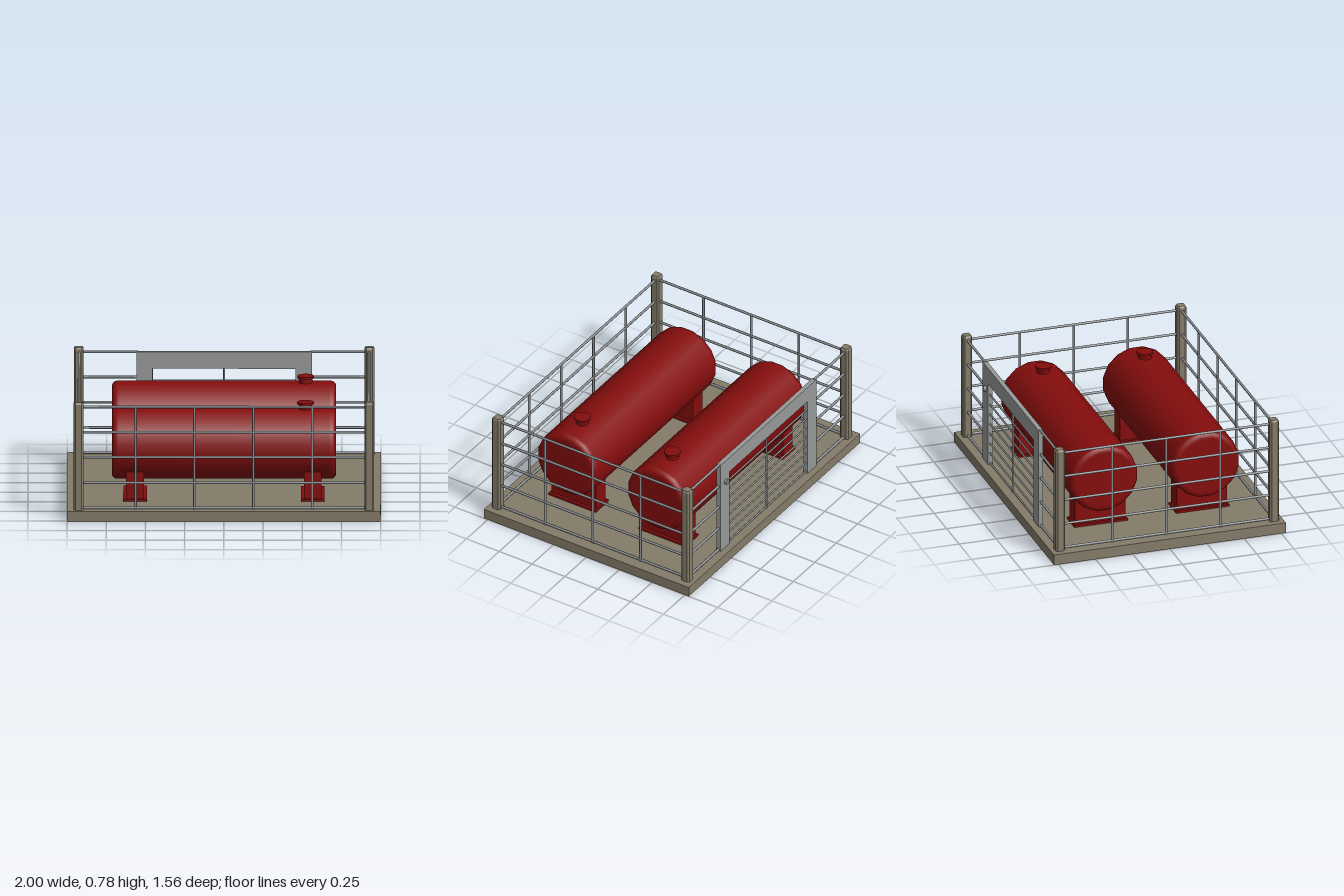
import * as THREE from 'three';

export function createModel() {
  const root = new THREE.Group();
  const mat = (name, color) => {
    const m = new THREE.MeshStandardMaterial({ color });
    m.name = name;
    return m;
  };
  const concrete = mat('concrete', 0x857c6a);
  const red = mat('red paint', 0x850d0d);
  const steel = mat('rail steel', 0x8a8e91);
  const gateGrey = mat('gate grey', 0x979999);

  const add = (parent, name, geo, material, x = 0, y = 0, z = 0) => {
    const mesh = new THREE.Mesh(geo, material);
    mesh.name = name;
    mesh.position.set(x, y, z);
    parent.add(mesh);
    return mesh;
  };
  const group = (name) => {
    const g = new THREE.Group();
    g.name = name;
    root.add(g);
    return g;
  };
  const box = (w, h, d) => new THREE.BoxGeometry(w, h, d);

  // Ground slab
  add(root, 'slab', box(2, 0.07, 1.56), concrete, 0, 0.035, 0);

  // Corner posts: chamfered square section with a bevelled top
  const a = 0.024, c = 0.017;
  const section = new THREE.Shape(
    [[a, -c], [a, c], [c, a], [-c, a], [-a, c], [-a, -c], [-c, -a], [c, -a]]
      .map(([x, y]) => new THREE.Vector2(x, y)));
  const postGeo = new THREE.ExtrudeGeometry(section, {
    depth: 0.7, bevelEnabled: true, bevelThickness: 0.012, bevelSize: 0.007, bevelSegments: 1,
  });
  postGeo.rotateX(-Math.PI / 2);
  const posts = group('cornerPosts');
  for (const x of [-0.927, 0.927])
    for (const z of [-0.72, 0.72]) add(posts, 'cornerPost', postGeo, concrete, x, 0.064, z);

  // Rails
  const R = 0.0085;
  const levels = [0.08, 0.245, 0.412, 0.577, 0.742];
  const rail = (parent, name, axis, length, x, y, z, r = R) => {
    const geo = new THREE.CylinderGeometry(r, r, length, 8);
    if (axis === 'x') geo.rotateZ(Math.PI / 2);
    if (axis === 'z') geo.rotateX(Math.PI / 2);
    return add(parent, name, geo, steel, x, y, z);
  };
  const upright = (parent, x, z) => rail(parent, 'upright', 'y', 0.675, x, 0.4075, z);

  const front = group('frontFence');
  for (const y of levels) rail(front, 'rail', 'x', 1.82, 0, y, 0.72);
  for (const x of [-0.563, -0.188, 0.188, 0.563]) upright(front, x, 0.72);

  for (const s of [-1, 1]) {
    const side = group(s > 0 ? 'leftFence' : 'rightFence');
    for (const y of levels) rail(side, 'rail', 'z', 1.42, s * 0.924, y, 0);
    for (const z of [-0.363, 0, 0.363]) upright(side, s * 0.924, z);
  }

  const back = group('backFence');
  for (const s of [-1, 1])
    for (const y of levels) rail(back, 'rail', 'x', 0.37, s * 0.735, y, -0.72);

  // Gate: flat frame with close horizontal bars and one centre bar
  const gate = group('gate');
  const frame = new THREE.Shape([
    [-0.56, 0.07], [-0.455, 0.07], [-0.455, 0.635], [0.455, 0.635],
    [0.455, 0.07], [0.56, 0.07], [0.56, 0.745], [-0.56, 0.745],
  ].map(([x, y]) => new THREE.Vector2(x, y)));
  const frameGeo = new THREE.ExtrudeGeometry(frame, { depth: 0.03, bevelEnabled: false });
  add(gate, 'gateFrame', frameGeo, gateGrey, 0, 0, -0.735);
  for (let i = 0; i < 8; i++) rail(gate, 'gateBar', 'x', 0.93, 0, 0.08 + i * 0.068, -0.72, 0.006);
  rail(gate, 'gateCentreBar', 'y', 0.58, 0, 0.355, -0.72, 0.007);
  const knob = new THREE.CylinderGeometry(0.018, 0.018, 0.02, 12).rotateX(Math.PI / 2);
  add(gate, 'gateKnob', knob, steel, 0.5, 0.585, -0.742);

  // Tanks: 16-sided drums with rounded rims
  const L = 0.715, rad = 0.2295, f = 0.035;
  const profile = [[0.0001, -L], [rad - f - 0.01, -L]];
  for (const s of [-1, 1]) {
    for (let i = 0; i <= 4; i++) {
      const t = (s < 0 ? i : 4 - i) / 4 * Math.PI / 2;
      profile.push([rad - f + f * Math.sin(t), s * (L - f + f * Math.cos(t))]);
    }
    if (s < 0) profile.push([rad, -L + f + 0.01], [rad, L - f - 0.01]);
  }
  profile.push([rad - f - 0.01, L], [0.0001, L]);
  const drumGeo = new THREE.LatheGeometry(
    profile.map(([x, y]) => new THREE.Vector2(x, y)), 16, Math.PI / 16);
  drumGeo.rotateZ(-Math.PI / 2);

  for (const z of [-0.342, 0.342]) {
    const tank = group(z > 0 ? 'frontTank' : 'backTank');
    tank.position.z = z;
    add(tank, 'drum', drumGeo, red, 0, 0.412, 0);
    for (const x of [-0.567, 0.567]) {
      add(tank, 'saddleLeg', box(0.112, 0.2, 0.338), red, x, 0.162, 0);
      add(tank, 'footPlate', box(0.15, 0.014, 0.36), red, x, 0.077, 0);
    }
    // Filler neck and lid
    add(tank, 'fillerNeck', new THREE.CylinderGeometry(0.043, 0.043, 0.07, 16), red, 0.52, 0.635, 0);
    add(tank, 'fillerLid', new THREE.CylinderGeometry(0.053, 0.053, 0.014, 16), red, 0.52, 0.674, 0);
  }
  return root;
}
